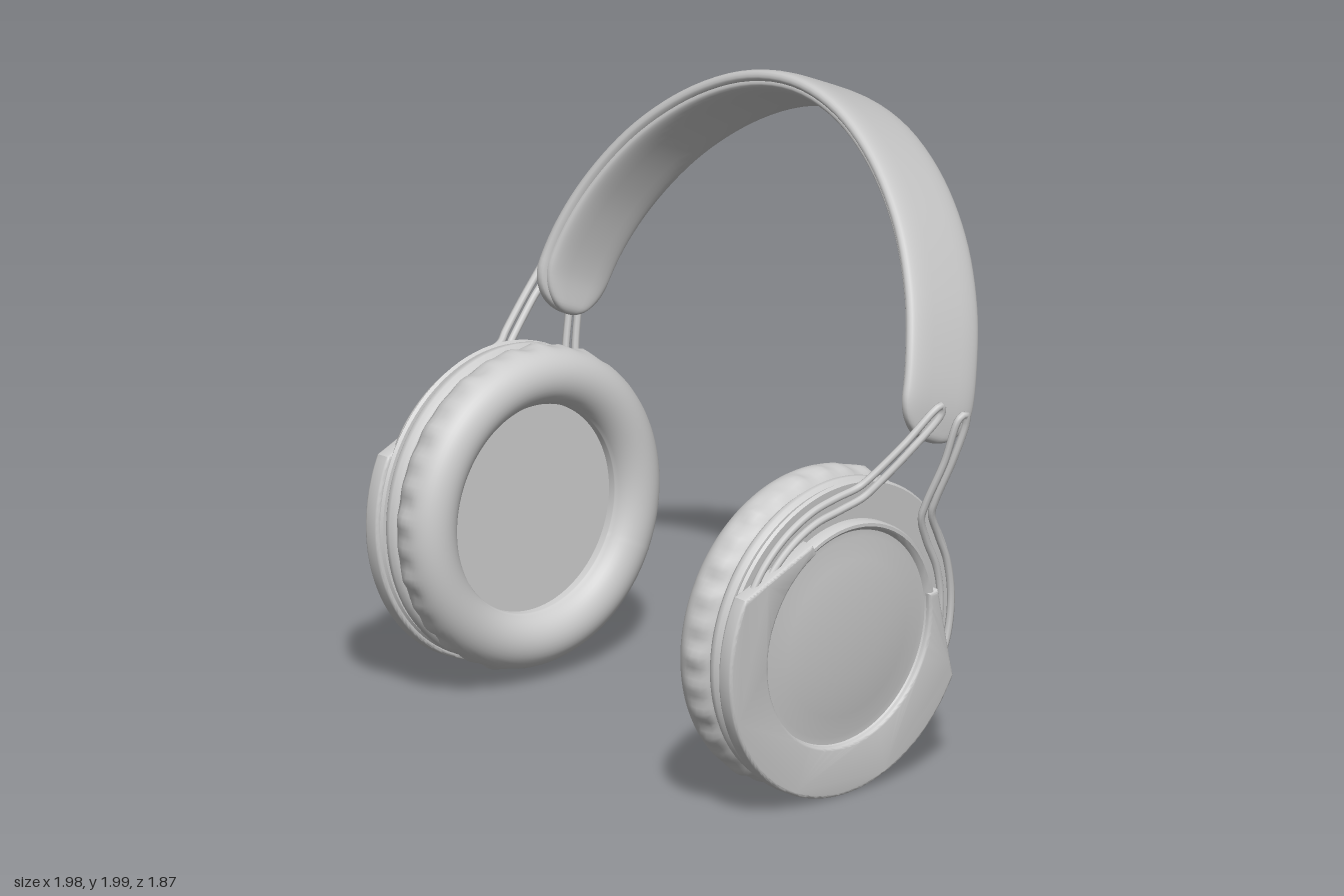
import * as THREE from 'three';
import { toCreasedNormals } from 'three/addons/utils/BufferGeometryUtils.js';

const material = new THREE.MeshStandardMaterial({ color: 0xcccccc });
const rad = THREE.MathUtils.degToRad;

function part(name, geometry, parent) {
  const mesh = new THREE.Mesh(geometry, material);
  mesh.name = name;
  parent.add(mesh);
}

// Lathe turned so its axis runs along x; points are [radius, x]
function turned(points, segments = 96) {
  const g = new THREE.LatheGeometry(points.map(([r, x]) => new THREE.Vector2(r, x)), segments);
  return g.rotateZ(-Math.PI / 2);
}

// Soft band swept along an arch, with rounded, closed ends
function bandGeometry(curve, halfWidth, halfThick, endLength, shift) {
  const N = 90, M = 32, pos = [], index = [];
  const length = curve.getLength();
  const pow = (v, e) => Math.sign(v) * Math.abs(v) ** e;
  for (let i = 0; i <= N; i++) {
    const t = (1 - Math.cos(Math.PI * i / N)) / 2;
    const p = curve.getPointAt(t), T = curve.getTangentAt(t);
    const n = new THREE.Vector3(T.y, -T.x, 0).normalize();
    const d = Math.min(t, 1 - t) * length;
    const e = Math.min(1, d / endLength), f = Math.min(1, d / 0.03);
    const round = Math.sqrt(Math.max(0, 1 - (1 - e) ** 2));
    const w = halfWidth * round * (0.88 + 0.12 * Math.sin(Math.PI * t));
    const h = halfThick * Math.sqrt(Math.max(0, 1 - (1 - f) ** 2));
    for (let j = 0; j < M; j++) {
      const a = j / M * Math.PI * 2;
      const o = shift + h * pow(Math.cos(a), 0.7), z = w * pow(Math.sin(a), 0.55);
      pos.push(p.x + n.x * o, p.y + n.y * o, p.z + z);
      if (i < N) {
        const k = (j + 1) % M, b = i * M;
        index.push(b + j, b + M + j, b + k, b + k, b + M + j, b + M + k);
      }
    }
  }
  const g = new THREE.BufferGeometry();
  g.setAttribute('position', new THREE.Float32BufferAttribute(pos, 3));
  g.setIndex(index);
  g.computeVertexNormals();
  return g;
}

// Cushion ring with puckered outer side
function cushionGeometry() {
  const pts = [[0.325, -0.18], [0.326, -0.21]];
  for (let i = 0; i <= 18; i++) {
    const a = Math.PI * (1.08 + 0.92 * i / 18);
    pts.push([0.414 + 0.088 * Math.cos(a), -0.19 + 0.085 * Math.sin(a)]);
  }
  pts.push([0.502, -0.17], [0.497, -0.145], [0.484, -0.125], [0.46, -0.11]);
  const g = turned(pts, 160), p = g.attributes.position;
  for (let i = 0; i < p.count; i++) {
    const x = p.getX(i), y = p.getY(i), z = p.getZ(i), r = Math.hypot(y, z);
    if (r < 0.44) continue;
    const a = Math.atan2(z, y);
    const k = Math.exp(-(((x + 0.165) / 0.035) ** 2));
    const s = 1 + k * 0.012 * (Math.sin(32 * a) + 0.5 * Math.sin(19 * a + 1));
    p.setXYZ(i, x, y * s, z * s);
  }
  g.computeVertexNormals();
  // Close the shading seam
  const n = g.attributes.normal, rows = pts.length, last = 160 * rows;
  for (let j = 0; j < rows; j++) n.setXYZ(last + j, n.getX(j), n.getY(j), n.getZ(j));
  return g;
}

// Crescent covering the lower half of the outer face
function coverGeometry() {
  const R = 0.496, r = 0.354, s = new THREE.Shape();
  const a = rad(36), c = Math.cos(a), d = Math.sin(a);
  s.absarc(0, 0, R, 0, Math.PI, true);
  s.bezierCurveTo(-0.45, 0.05, -0.41, 0.1, -0.375 * c, 0.375 * d);
  s.lineTo(-r * c, r * d);
  s.absarc(0, 0, r, Math.PI - a, Math.PI * 2 + a, false);
  s.lineTo(0.375 * c, 0.375 * d);
  s.bezierCurveTo(0.41, 0.1, 0.45, 0.05, R, 0);
  const g = new THREE.ExtrudeGeometry(s, {
    depth: 0.036, bevelSize: 0.01, bevelThickness: 0.01, bevelSegments: 3, curveSegments: 64,
  });
  return toCreasedNormals(g.rotateY(Math.PI / 2).translate(-0.046, 0, 0), 0.6);
}

// Hairpin wire: around the deck, up to the band, over and back
function wireGeometry(side, topX) {
  const pts = [];
  const add = (x, y, z) => pts.push(new THREE.Vector3(x, y, z * side));
  const arc = (r, angles) => angles.forEach((a) =>
    add(-0.032, r * Math.sin(rad(a)), r * Math.cos(rad(a))));
  const midX = topX * 0.55;
  arc(0.462, [0, 15, 30, 45, 57]);
  add(-0.024, 0.445, 0.178);
  add(-0.01, 0.485, 0.158);
  add(midX, 0.62, 0.116);
  add(topX, 0.745, 0.077);
  add(topX + 0.003, 0.765, 0.06);
  add(topX, 0.745, 0.042);
  add(midX, 0.605, 0.082);
  add(-0.01, 0.465, 0.122);
  add(-0.024, 0.42, 0.142);
  arc(0.417, [60, 45, 30, 15, 0]);
  return new THREE.TubeGeometry(new THREE.CatmullRomCurve3(pts), 140, 0.012, 8);
}

// Ear cup: outer face towards +x, top towards +y
function earCup(name, wireTop) {
  const cup = new THREE.Group();
  cup.name = name;
  part('earCushion', cushionGeometry(), cup);
  part('speakerCover', turned([[0, -0.188], [0.34, -0.188]]), cup);
  // Housing: rim, groove, wire deck, raised domed disc
  part('housing', toCreasedNormals(turned([
    [0.4, -0.13], [0.462, -0.125], [0.482, -0.115], [0.493, -0.1], [0.493, -0.085], [0.483, -0.073],
    [0.466, -0.07], [0.466, -0.066], [0.486, -0.064], [0.493, -0.055], [0.486, -0.046],
    [0.371, -0.046], [0.371, -0.014], [0.366, -0.006], [0.356, -0.005], [0.349, -0.01],
    [0.341, -0.024], [0.32, -0.024], [0.25, -0.011], [0.13, -0.001], [0, 0.003],
  ]), 0.7), cup);
  part('coverPlate', coverGeometry(), cup);
  part('frontWire', wireGeometry(1, wireTop), cup);
  part('backWire', wireGeometry(-1, wireTop), cup);
  cup.rotation.order = 'YZX';
  return cup;
}

export function createModel() {
  const model = new THREE.Group();
  model.name = 'headphones';

  // Cups lean back, and their tops tip slightly outwards
  const left = earCup('leftEarCup', 0.068);
  left.position.set(0.675, 0.511, 0.522);
  left.rotation.set(rad(-26), rad(-33), rad(-3.2));
  const right = earCup('rightEarCup', 0);
  right.position.set(-0.695, 0.543, -0.56);
  right.rotation.set(rad(26), rad(144.5), rad(-1.2));

  // Headband arch, leaning back and turned with the cups
  const half = [[0.85, 0.635, -0.035], [0.85, 0.76, -0.025], [0.815, 0.9, -0.012], [0.743, 1.06, -0.004],
    [0.612, 1.24, 0.004], [0.422, 1.4, 0.01], [0.21, 1.503, 0.014]];
  const pts = [...half, [0, 1.537, 0.016], ...half.map(([x, y, z]) => [-x, y, z]).reverse()];
  const arch = new THREE.CatmullRomCurve3(pts.map((p) => new THREE.Vector3(...p)));
  const band = new THREE.Group();
  band.name = 'headband';
  part('bandShell', bandGeometry(arch, 0.163, 0.026, 0.13, 0.004), band);
  part('bandPadding', bandGeometry(arch, 0.145, 0.024, 0.15, -0.014), band);
  band.position.y = 0.515;
  band.rotation.order = 'YXZ';
  band.rotation.set(rad(-24.5), rad(-36.9), 0);

  model.add(left, right, band);
  return model;
}
